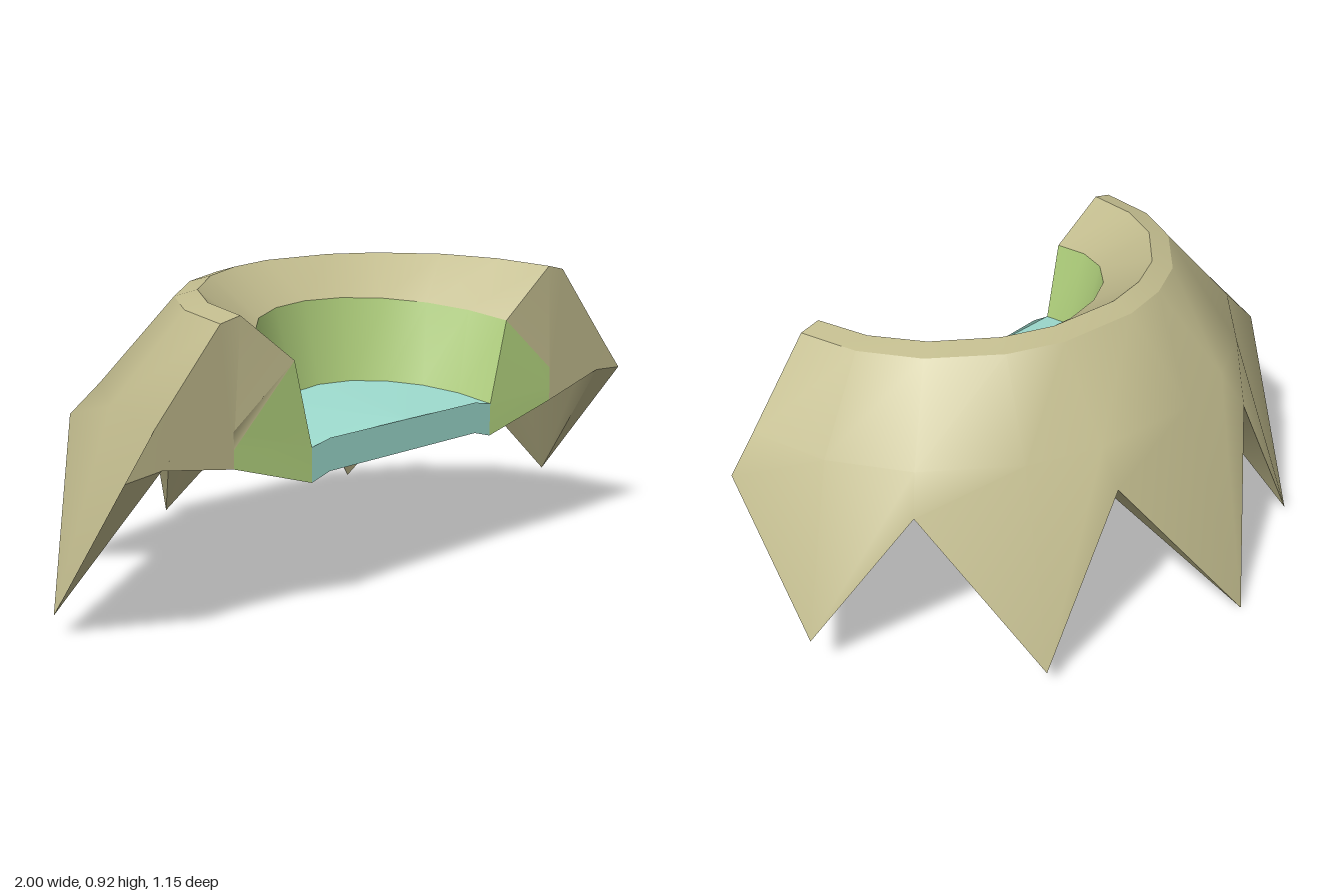
import * as THREE from 'three';

const CX = -0.02, CZ = 0.52;
const { clamp, lerp } = THREE.MathUtils;
// Jagged lower edge, from the left end round the back to the right end
const EDGE = [
  [0.95, 0.54, 0.575], [1.0, 0.12, 0.245], [0.78, 0.555, 0.0], [0.61, 0.05, -0.33],
  [0.32, 0.56, -0.36], [-0.04, 0, -0.572], [-0.27, 0.56, -0.39], [-0.555, 0.015, -0.4],
  [-0.77, 0.55, -0.08], [-0.995, 0.065, 0.135], [-0.99, 0.5, 0.46],
];
const N = EDGE.length;
const edgeAngle = EDGE.map(([x, , z]) => Math.atan2(CZ - z, x - CX));

// Point on the half ring: column i, radius r, height y at the ends,
// raised by dy at the back and by tilt towards the left
function polar(i, r, y, dy = 0, tilt = 0) {
  const inner = (i / (N - 1)) * Math.PI;
  const a = lerp(inner, edgeAngle[i], clamp((r - 0.45) / 0.15, 0, 1));
  const depth = r * lerp(0.95, 0.98, clamp((r - 0.38) / 0.5, 0, 1));
  return [
    CX + r * Math.cos(a),
    y + dy * Math.sin(inner) + tilt * Math.cos(inner),
    CZ - depth * Math.sin(a),
  ];
}
const ring = (...args) => EDGE.map((_, i) => polar(i, ...args));

// Surface through rows of points
function grid(name, rows, material) {
  const w = rows[0].length, index = [];
  for (let j = 0; j < rows.length - 1; j++) {
    for (let i = 0; i < w - 1; i++) {
      const p = j * w + i;
      index.push(p, p + w, p + 1, p + 1, p + w, p + w + 1);
    }
  }
  const g = new THREE.BufferGeometry();
  g.setAttribute('position', new THREE.Float32BufferAttribute(rows.flat(2), 3));
  g.setIndex(index);
  g.computeVertexNormals();
  const mesh = new THREE.Mesh(g, material);
  mesh.name = name;
  return mesh;
}

export function createModel() {
  const mat = (color) => new THREE.MeshStandardMaterial({ color, side: THREE.DoubleSide });
  const stone = mat(0xc2bc8e), moss = mat(0xb0d07c), water = mat(0x9edccf);
  const group = new THREE.Group();
  group.name = 'spikedHalfBowl';

  const bowlBottom = ring(0.38, 0.5, 0.06);
  const bowlTop = ring(0.445, 0.75, 0.06);
  const ridge = ring(0.605, 0.895, 0.025, 0.01);
  const rim = ring(0.67, 0.88, 0.02, 0.01);
  const mid = ring(0.88, 0.635, 0.025, 0.01);
  // Inner side of the spikes: meets the outer side at the tips, thick at the notches
  const lip = EDGE.map((p, i) => {
    if (i % 2 === 1) return p;
    return i === 0 || i === N - 1 ? polar(i, 0.86, 0.53, 0, 0.015) : polar(i, 0.84, 0.52);
  });

  group.add(
    grid('outerShell', [rim, mid, EDGE], stone),
    grid('notchUndersides', [EDGE, lip], stone),
    grid('innerSpikes', [lip, ring(0.79, 0.58)], stone),
    grid('topRim', [ridge, rim], stone),
    grid('innerSlope', [bowlTop, ridge], stone),
    grid('bowlWall', [bowlBottom, bowlTop], moss),
  );

  // Pool surface and its front face
  const centre = EDGE.map(() => [CX, 0.515, CZ]);
  group.add(grid('poolSurface', [centre, bowlBottom], water));
  const front = [[-0.4, 0.5, 0.4], [-0.33, 0.515, 0.42], [0.29, 0.515, 0.42], [0.36, 0.5, 0.4]];
  group.add(grid('poolFront', [
    front.map(([x, y]) => [x, y, CZ]),
    front.map(([x, , y]) => [x, y, CZ]),
  ], water));

  // Cut faces at both ends of the half ring
  for (const i of [0, N - 1]) {
    const side = i === 0 ? 'left' : 'right';
    const facing = (rows) => (i === 0 ? rows.reverse() : rows);
    const seam = [0.58, 0.53, 0.478].map((y) => polar(i, 0.63, y));
    group.add(
      grid(side + 'StoneEnd', facing([
        [EDGE[i], mid[i], rim[i], ridge[i], bowlTop[i]],
        [EDGE[i], lip[i], seam[2], seam[1], seam[0]],
      ]), stone),
      grid(side + 'MossEnd', facing([
        [bowlTop[i], bowlBottom[i], polar(i, 0.38, 0.4)],
        seam,
      ]), moss),
    );
  }
  return group;
}
